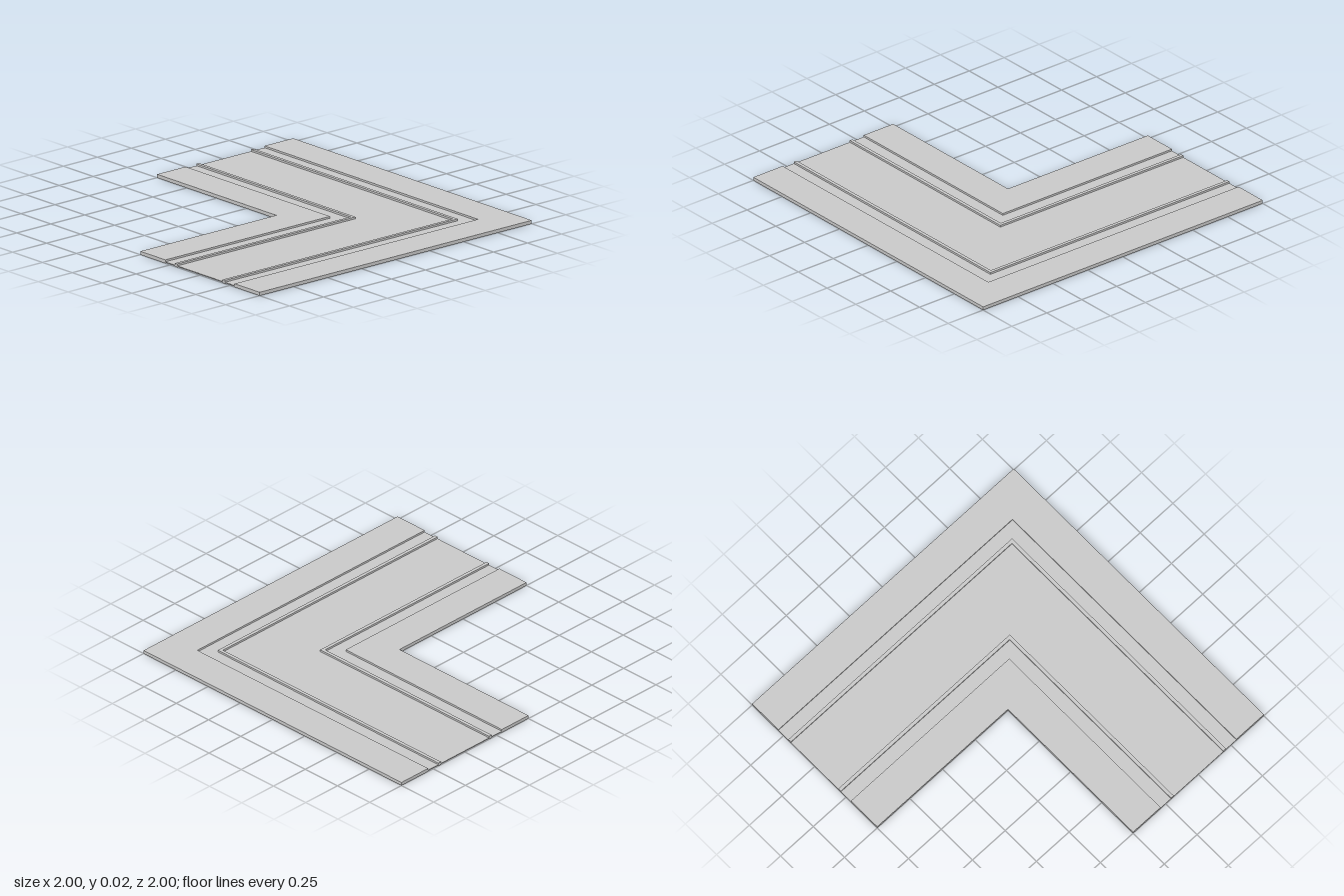
import * as THREE from 'three';

const material = new THREE.MeshStandardMaterial({ color: 0xcccccc, flatShading: true });

// L-shaped slab between two offsets from the inner corner, from bottom to top
function cornerBand(name, inner, outer, bottom, top) {
  const shape = new THREE.Shape([
    [-1, inner], [inner, inner], [inner, -1],
    [outer, -1], [outer, outer], [-1, outer],
  ].map(([x, z]) => new THREE.Vector2(x, z)));
  const geometry = new THREE.ExtrudeGeometry(shape, { depth: top - bottom, bevelEnabled: false });
  geometry.rotateX(Math.PI / 2);
  geometry.translate(0, top, 0);
  const mesh = new THREE.Mesh(geometry, material);
  mesh.name = name;
  return mesh;
}

export function createModel() {
  const group = new THREE.Group();
  group.name = 'roadCorner';
  const height = 0.02, roadBottom = 0.004, roadTop = 0.009;

  // Raised pavements on both sides of the bend
  group.add(cornerBand('innerPavement', 0, 0.21, 0, height));
  group.add(cornerBand('outerPavement', 0.79, 1, 0, height));

  // Narrow raised kerbs beside the carriageway
  group.add(cornerBand('innerKerb', 0.29, 0.31, 0, height));
  group.add(cornerBand('outerKerb', 0.69, 0.71, 0, height));

  // Sunken carriageway and the gutters between kerb and pavement
  group.add(cornerBand('innerGutter', 0.21, 0.29, roadBottom, roadTop));
  group.add(cornerBand('carriageway', 0.31, 0.69, roadBottom, roadTop));
  group.add(cornerBand('outerGutter', 0.71, 0.79, roadBottom, roadTop));
  return group;
}
